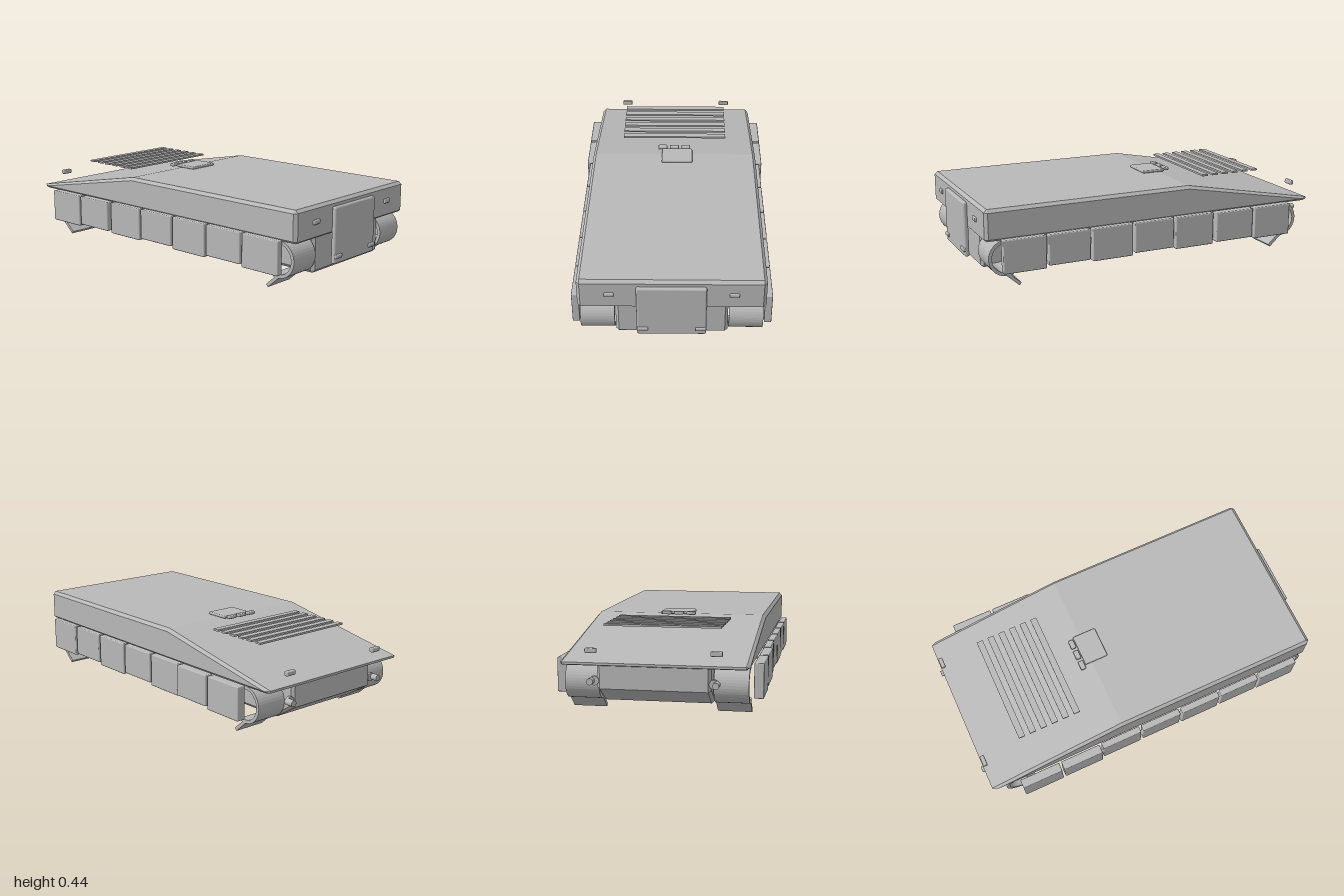
import * as THREE from 'three';
import { RoundedBoxGeometry } from 'three/addons/geometries/RoundedBoxGeometry.js';
import { ConvexGeometry } from 'three/addons/geometries/ConvexGeometry.js';

export function createModel() {
  const model = new THREE.Group();
  model.name = 'trackedCarrier';
  const grey = new THREE.MeshStandardMaterial({ color: 0xb8b8b8 });
  grey.name = 'hullGrey';

  const add = (name, geometry, x = 0, y = 0, z = 0) => {
    const mesh = new THREE.Mesh(geometry, grey);
    mesh.name = name;
    mesh.position.set(x, y, z);
    model.add(mesh);
    return mesh;
  };
  // Box given by its extents, with softened edges
  const block = (name, x0, x1, y0, y1, z0, z1, r = 0.006) =>
    add(name, new RoundedBoxGeometry(x1 - x0, y1 - y0, z1 - z0, 2, r),
      (x0 + x1) / 2, (y0 + y1) / 2, (z0 + z1) / 2);
  // Convex hull body: [z, y] outline at the inner width, smaller outline at the sides
  const bevelledHull = (name, outline, wide, sideOutline, full) => {
    const pts = [];
    for (const s of [-1, 1]) {
      outline.forEach(([z, y]) => pts.push(new THREE.Vector3(s * wide, y, z)));
      sideOutline.forEach(([z, y]) => pts.push(new THREE.Vector3(s * full, y, z)));
    }
    add(name, new ConvexGeometry(pts));
  };

  // Hull bodies
  bevelledHull('upperHull',
    [[0.955, 0.255], [0.967, 0.265], [0.967, 0.41], [0.95, 0.425], [-0.2, 0.425], [-0.985, 0.274], [-0.985, 0.262], [-0.96, 0.255]], 0.46,
    [[0.95, 0.268], [0.95, 0.408], [-0.2, 0.408], [-0.955, 0.268]], 0.476);
  bevelledHull('lowerHull',
    [[0.935, 0.26], [0.935, 0.075], [0.92, 0.06], [-0.84, 0.06], [-0.965, 0.14], [-0.965, 0.26]], 0.272,
    [[0.92, 0.26], [0.92, 0.076], [-0.835, 0.076], [-0.95, 0.148], [-0.95, 0.26]], 0.287);

  // Rear-door style ramp on the front face, with its hinges
  block('frontRamp', -0.178, 0.176, 0.095, 0.395, 0.962, 0.988, 0.01);
  for (const s of [-1, 1]) block('rampHinge', s * 0.148 - 0.028, s * 0.148 + 0.028, 0.124, 0.145, 0.975, 0.997);

  // Hatch, periscopes and raised deck slats
  block('roofHatch', -0.072, 0.106, 0.424, 0.44, -0.24, -0.105);
  for (const x of [-0.068, 0, 0.068]) block('periscope', x - 0.026, x + 0.026, 0.426, 0.444, -0.275, -0.245);
  for (let i = 0; i < 6; i++)
    add('deckSlat', new THREE.BoxGeometry(0.612, 0.01, 0.036), 0, 0.428, -0.398 - i * 0.0655);

  for (const s of [-1, 1]) {
    // Lamps and tow fittings
    block('headlamp', s * 0.314 - 0.025, s * 0.314 + 0.025, 0.33, 0.354, 0.955, 0.977);
    block('rearLamp', s * 0.314 - 0.03, s * 0.314 + 0.03, 0.32, 0.345, -0.98, -0.956);
    add('towPin', new THREE.CylinderGeometry(0.017, 0.017, 0.05, 16).rotateX(Math.PI / 2), s * 0.314, 0.18, -0.975);
    add('towPinCollar', new THREE.CylinderGeometry(0.024, 0.024, 0.016, 16).rotateX(Math.PI / 2), s * 0.3, 0.18, -0.955);

    // Side skirt plates; the last two sit further out
    for (let i = 0; i < 7; i++) {
      const x = s * (i < 5 ? 0.496 : 0.506);
      const half = i < 5 ? 0.019 : 0.025;
      const z = 0.77 - i * 0.2467;
      block('skirtPlate', x - half, x + half, i % 2 ? 0.1 : 0.088, 0.268, z - 0.117, z + 0.117);
    }

    // Curved track guards and mud flaps at both ends
    for (const end of [1, -1]) {
      const z = end > 0 ? 0.853 : -0.812;
      const from = Math.PI * 0.55, to = -Math.PI * 0.61;
      const ring = new THREE.Shape();
      ring.absarc(0, 0, 0.098, from, to, true);
      ring.absarc(0, 0, 0.08, to, from, false);
      const guard = new THREE.ExtrudeGeometry(ring, { depth: 0.175, bevelEnabled: false, curveSegments: 12 });
      guard.translate(0, 0, -0.0875).rotateY(-end * Math.PI / 2);
      add('trackGuard', guard, s * 0.378, 0.16, z);
      const flap = add('mudFlap', new THREE.BoxGeometry(0.175, 0.018, 0.095), s * 0.378, 0.04, z - end * 0.035);
      flap.rotation.x = -end * 0.73;
    }
  }
  return model;
}
